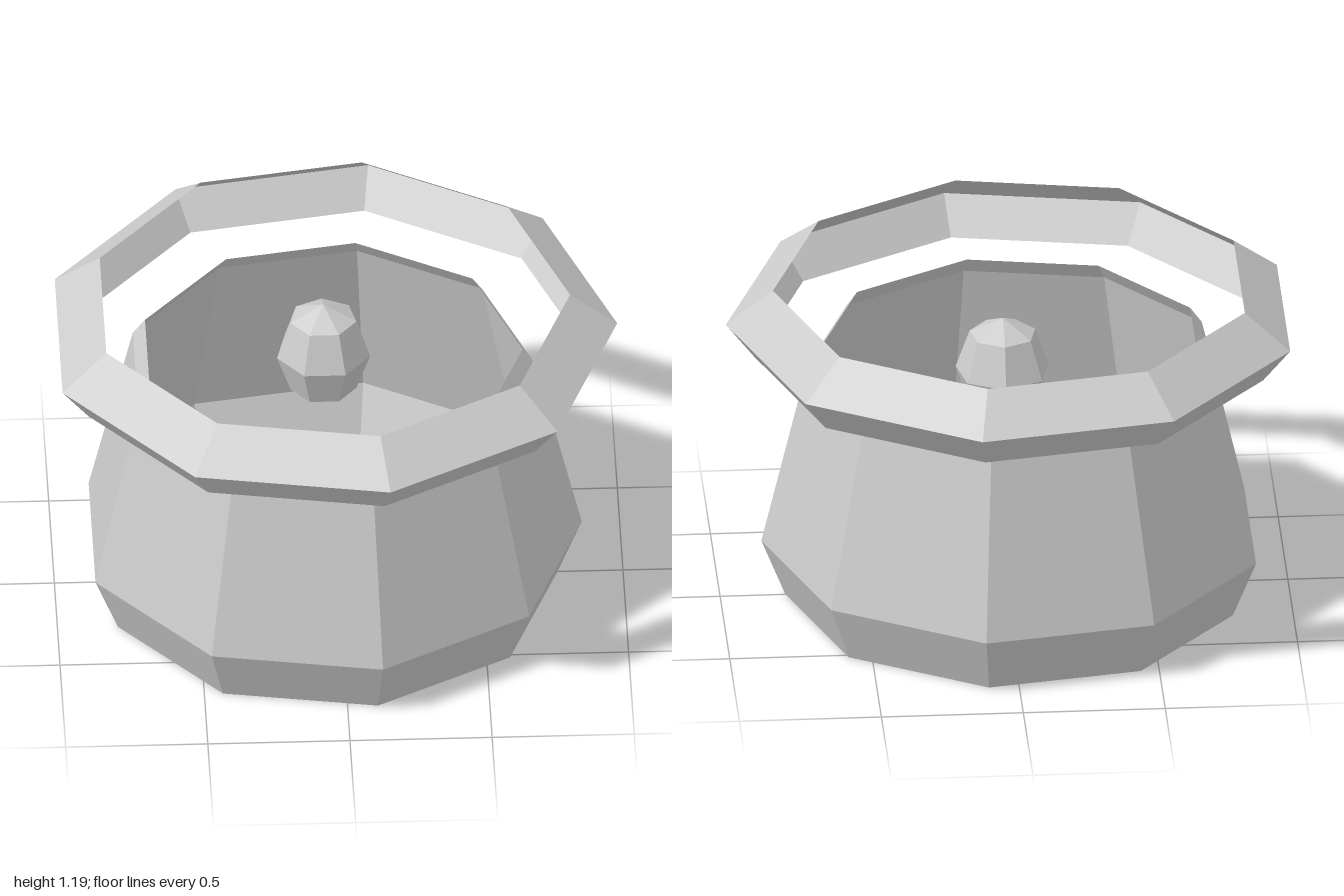
import * as THREE from 'three';

// Nine-sided open shell turned from a [radius, height] profile, one corner on +x
function shell(name, profile, material) {
  const points = profile.map(([r, y]) => new THREE.Vector2(r, y));
  const mesh = new THREE.Mesh(new THREE.LatheGeometry(points, 9, Math.PI / 2), material);
  mesh.name = name;
  return mesh;
}

export function createModel() {
  const model = new THREE.Group();
  model.name = 'pot';
  const grey = new THREE.MeshStandardMaterial({
    color: 0xcccccc, flatShading: true, side: THREE.DoubleSide,
  });
  grey.name = 'light grey';

  // Thin-walled pot with a flat floor and a short inward shoulder
  model.add(shell('potBody', [[0, 0], [0.803, 0], [0.888, 0.213], [0.725, 0.895], [0.68, 0.96]], grey));

  // Hollow V-shaped collar floating around the rim
  model.add(shell('collar', [[0.914, 0.935], [1.013, 1.062], [0.847, 1.19]], grey));

  // Two seven-sided knobs inside the pot, at the front and back
  for (const side of [1, -1]) {
    const knob = new THREE.Mesh(new THREE.SphereGeometry(0.168, 7, 4, -Math.PI / 2), grey);
    knob.name = side > 0 ? 'frontKnob' : 'backKnob';
    knob.scale.y = 1.2;
    knob.position.set(0, 0.59, side * 0.54);
    model.add(knob);
  }

  // Odd-sided rings reach further on +x, so shift to centre the bounds
  model.children.forEach((part) => { part.position.x = -0.033; });
  return model;
}
